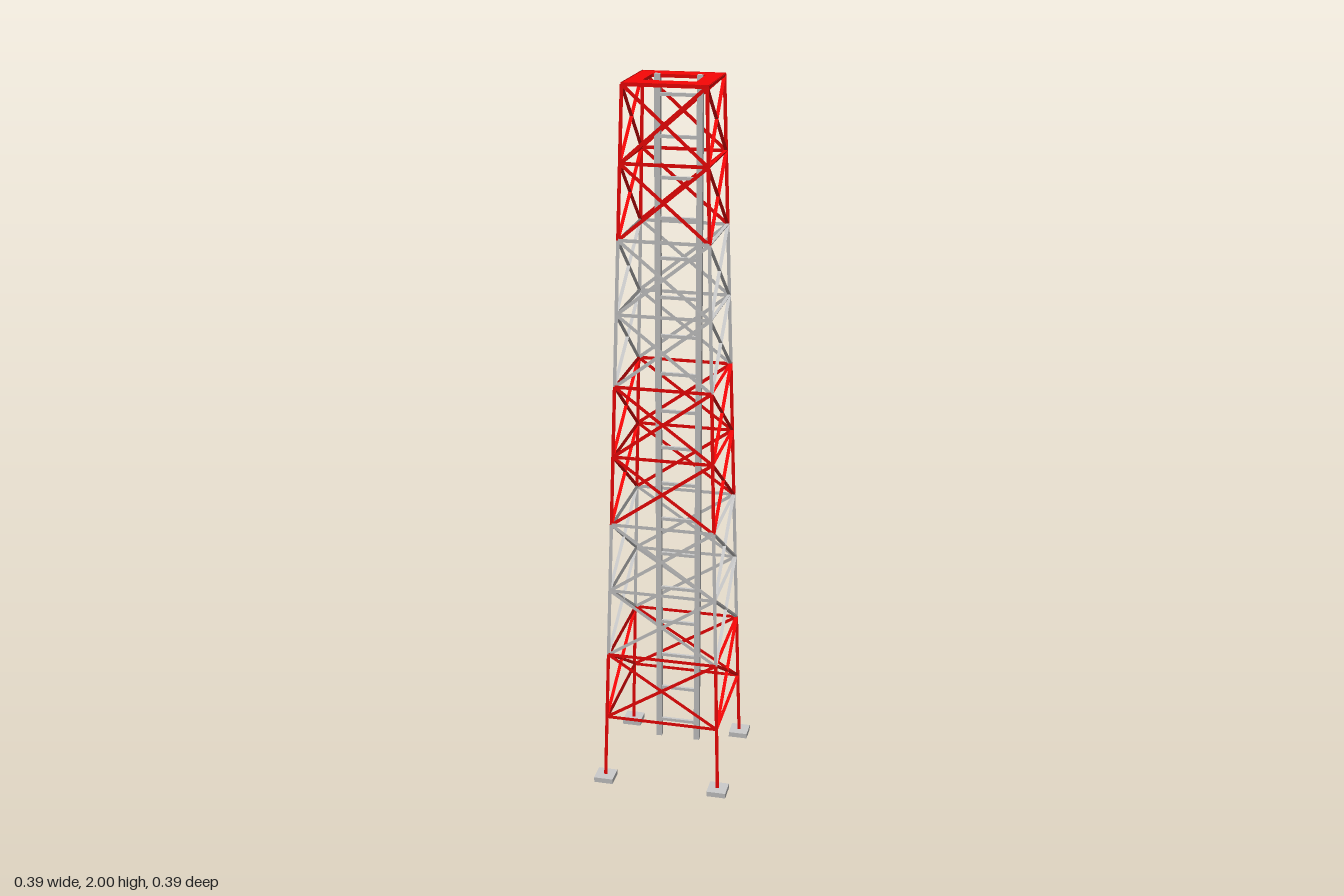
import * as THREE from 'three';

const red = new THREE.MeshStandardMaterial({ color: 0xf80606, flatShading: true });
const grey = new THREE.MeshStandardMaterial({ color: 0xcccccc, flatShading: true });

const STEP = 0.199, BASE = 0.005, BAYS = 10;
const UP = new THREE.Vector3(0, 1, 0);
const levelY = (n) => BASE + n * STEP;
const halfWidth = (y) => 0.1665 - 0.0285 * y;
const bayMaterial = (n) => (Math.floor(n / 2) % 2 === 0 ? red : grey);

function box(name, w, h, d, x, y, z) {
  const mesh = new THREE.Mesh(new THREE.BoxGeometry(w, h, d), grey);
  mesh.position.set(x, y, z);
  mesh.name = name;
  return mesh;
}

// Slim three-sided rod running between two points
function rod(name, a, b, radius, material) {
  const geometry = new THREE.CylinderGeometry(radius, radius, a.distanceTo(b), 3, 1, false, Math.PI);
  const mesh = new THREE.Mesh(geometry, material);
  mesh.position.copy(a).add(b).multiplyScalar(0.5);
  mesh.quaternion.setFromUnitVectors(UP, b.clone().sub(a).normalize());
  mesh.name = name;
  return mesh;
}

// Corner of the tapering tower at a given level
function corner(side, n) {
  const y = levelY(n), h = halfWidth(y);
  const [sx, sz] = [[1, 1], [1, -1], [-1, -1], [-1, 1]][side % 4];
  return new THREE.Vector3(sx * h, y, sz * h);
}

function createBay(n) {
  const bay = new THREE.Group();
  bay.name = `bay${n + 1}`;
  const material = bayMaterial(n);
  for (let s = 0; s < 4; s++) {
    bay.add(rod('leg', corner(s, n), corner(s, n + 1), 0.0055, material));
    bay.add(rod('crossbar', corner(s, n + 1), corner(s + 1, n + 1), 0.0055, material));
    // The lowest bay stands open, without bracing
    if (n > 0) {
      bay.add(rod('diagonalBrace', corner(s, n), corner(s + 1, n + 1), 0.0055, material));
      bay.add(rod('diagonalBrace', corner(s + 1, n), corner(s, n + 1), 0.0055, material));
    }
  }
  return bay;
}

// Square plate with a rectangular hatch
function createTopFrame() {
  const outer = 0.1125, hx = 0.07, hz = 0.055;
  const rectangle = (x, z) => [[-x, -z], [x, -z], [x, z], [-x, z]].map(([u, v]) => new THREE.Vector2(u, v));
  const shape = new THREE.Shape(rectangle(outer, outer));
  shape.holes.push(new THREE.Path(rectangle(hx, hz)));
  const geometry = new THREE.ExtrudeGeometry(shape, { depth: 0.009, bevelEnabled: false });
  geometry.rotateX(-Math.PI / 2);
  const mesh = new THREE.Mesh(geometry, red);
  mesh.position.y = 1.99;
  mesh.name = 'topFrame';
  return mesh;
}

function createLadder() {
  const ladder = new THREE.Group();
  ladder.name = 'ladder';
  const z = -0.0555, bottom = 0.032, top = 2;
  for (const side of [-1, 1]) {
    ladder.add(box('ladderRail', 0.016, top - bottom, 0.016, side * 0.057, (top + bottom) / 2, z));
  }
  for (let i = 0; i < 18; i++) {
    ladder.add(box('ladderRung', 0.114, 0.009, 0.008, 0, 0.088 + i * 0.1094, z + 0.002));
  }
  return ladder;
}

export function createModel() {
  const tower = new THREE.Group();
  tower.name = 'latticeTower';

  // Foundation pads under the four legs
  for (const sx of [-1, 1]) {
    for (const sz of [-1, 1]) {
      tower.add(box('footPad', 0.055, 0.015, 0.055, sx * 0.1665, 0.0075, sz * 0.1665));
    }
  }
  for (let n = 0; n < BAYS; n++) tower.add(createBay(n));
  tower.add(createTopFrame(), createLadder());
  return tower;
}
